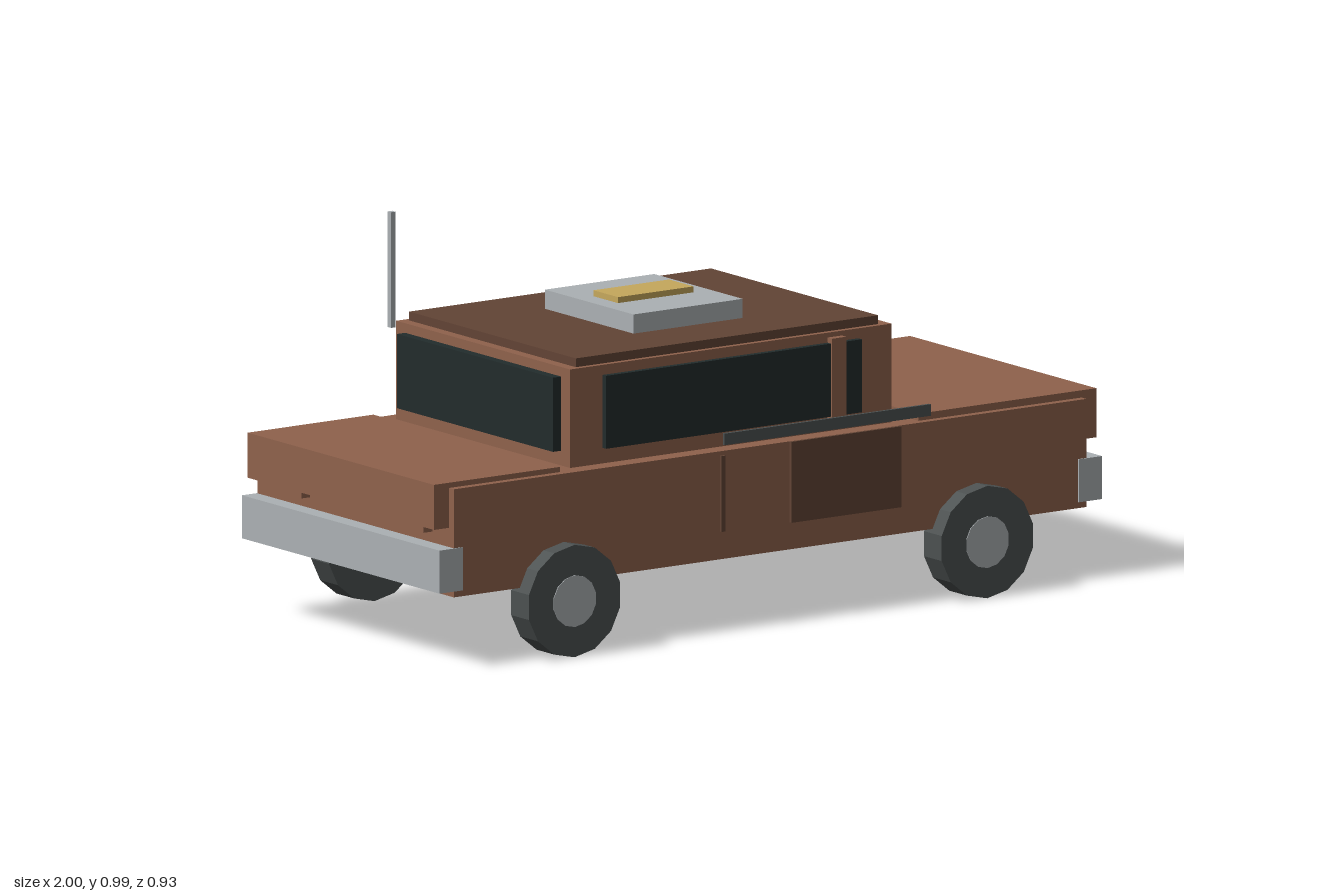
import * as THREE from 'three';

export function createModel() {
  const car = new THREE.Group();
  car.name = 'car';

  const mat = (name, color) => {
    const m = new THREE.MeshStandardMaterial({ color });
    m.name = name;
    return m;
  };
  const paint = mat('brown paint', 0x8f624c);
  const roofPaint = mat('dark brown', 0x624435);
  const glass = mat('dark glass', 0x222c2c);
  const metal = mat('light metal', 0xacb1b4);
  const gold = mat('gold', 0xc6a85c);
  const tyre = mat('tyre rubber', 0x4c5151);

  // Box given by its lower and upper limits on each axis
  const box = (name, m, [x0, x1], [y0, y1], [z0, z1], parent = car) => {
    const mesh = new THREE.Mesh(new THREE.BoxGeometry(x1 - x0, y1 - y0, z1 - z0), m);
    mesh.position.set((x0 + x1) / 2, (y0 + y1) / 2, (z0 + z1) / 2);
    mesh.name = name;
    parent.add(mesh);
    return mesh;
  };

  // Body shell with overhanging hood and trunk
  box('body', paint, [-0.955, 0.955], [0.182, 0.453], [-0.415, 0.415]);
  box('hood', paint, [0.463, 1], [0.348, 0.471], [-0.394, 0.394]);
  box('trunk', paint, [-1, -0.62], [0.353, 0.466], [-0.394, 0.394]);

  // Cabin, roof and roof pod
  box('cabin', paint, [-0.57, 0.4], [0.45, 0.7], [-0.368, 0.368]);
  box('roof', roofPaint, [-0.542, 0.37], [0.7, 0.722], [-0.353, 0.353]);
  box('roofPod', metal, [-0.25, 0.08], [0.722, 0.77], [-0.187, 0.187]);
  box('roofPodPlate', gold, [-0.2, 0.028], [0.77, 0.785], [-0.052, 0.052]);

  // End windows
  box('frontWindow', glass, [0.4, 0.423], [0.487, 0.678], [-0.33, 0.33]);
  box('rearWindow', glass, [-0.595, -0.57], [0.49, 0.676], [-0.33, 0.33]);

  // Bumpers
  box('frontBumper', metal, [0.93, 1], [0.197, 0.305], [-0.418, 0.418]);
  box('rearBumper', metal, [-1, -0.93], [0.197, 0.305], [-0.418, 0.418]);

  for (const s of [1, -1]) {
    const span = (a, b) => (s > 0 ? [a, b] : [-b, -a]);
    // Side window and its pillar
    box('sideWindow', glass, [-0.472, 0.3], [0.492, 0.675], span(0.368, 0.383));
    box('windowPillar', paint, [0.207, 0.25], [0.475, 0.688], span(0.366, 0.387));
    // Lights under the hood and trunk edges
    box('headlight', gold, [0.955, 0.983], [0.327, 0.35], span(0.193, 0.324));
    box('tailLight', paint, [-0.981, -0.955], [0.332, 0.354], span(0.193, 0.324));

    // Wheels with hubs
    for (const x of [-0.623, 0.623]) {
      const wheel = new THREE.Group();
      wheel.name = 'wheel';
      wheel.position.set(x, 0.141, s * 0.423);
      const disc = (name, m, r, depth, sides) => {
        const g = new THREE.CylinderGeometry(r, r, depth, sides).rotateX(Math.PI / 2).toNonIndexed();
        g.computeVertexNormals();
        const mesh = new THREE.Mesh(g, m);
        mesh.name = name;
        wheel.add(mesh);
      };
      disc('tyre', tyre, 0.141, 0.075, 14);
      disc('hub', metal, 0.065, 0.079, 14);
      car.add(wheel);
    }
  }

  // Door details on the left flank
  box('doorPanel', roofPaint, [0.058, 0.39], [0.25, 0.453], [0.415, 0.424]);
  box('doorSeam', roofPaint, [-0.152, -0.14], [0.252, 0.442], [0.415, 0.423]);
  box('sideRail', tyre, [-0.147, 0.475], [0.47, 0.499], [0.421, 0.429]);

  // Aerial
  box('aerial', metal, [-0.632, -0.618], [0.7, 0.99], [-0.317, -0.303]);

  return car;
}
